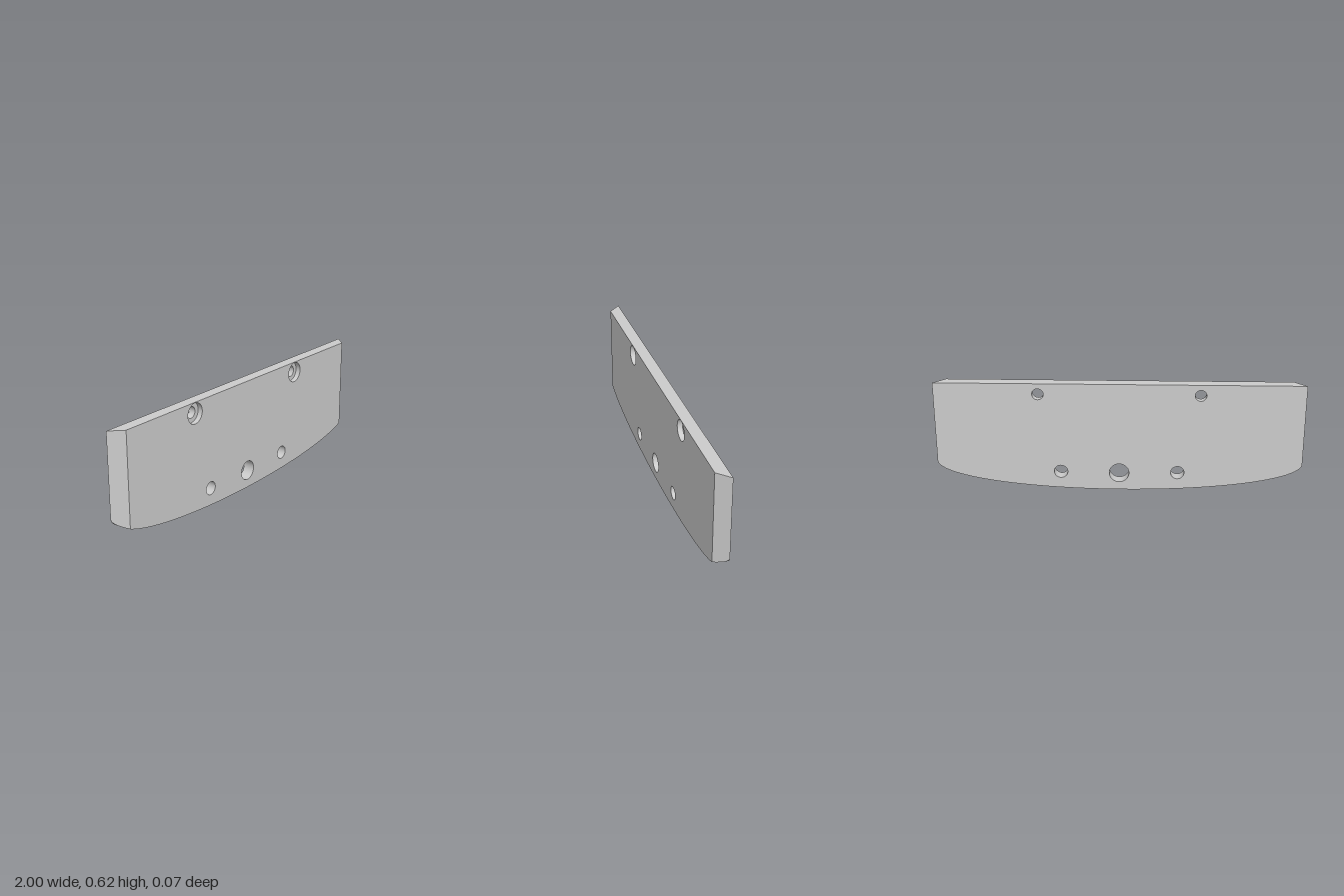
import * as THREE from 'three';

const HALF = 0.033;      // half the plate thickness
const TOP = 0.617;       // plate height
const FRONT_X = 0.935;   // half width of the front face (back face is 1)
const RISE = 0.163;      // height of the elliptical lower edge at its ends
const BORE_DEPTH = 0.028;
const SEG = 40;

const HOLES = [
  { name: 'centreHole', x: 0, y: 0.1, r: 0.054 },
  { name: 'lowerHoleLeft', x: 0.32, y: 0.105, r: 0.037 },
  { name: 'lowerHoleRight', x: -0.32, y: 0.105, r: 0.037 },
  { name: 'screwHoleLeft', x: 0.437, y: 0.557, r: 0.031, bore: 0.056 },
  { name: 'screwHoleRight', x: -0.437, y: 0.557, r: 0.031, bore: 0.056 },
];

const lowerEdge = (x) => RISE * (1 - Math.sqrt(Math.max(0, 1 - x * x)));
const frontZ = (x) =>
  HALF - 2 * HALF * Math.max(0, (Math.abs(x) - FRONT_X) / (1 - FRONT_X));

// x positions evenly spaced in angle along the ellipse
function stations(from, to, count) {
  const a = Math.asin(from), b = Math.asin(to);
  return Array.from({ length: count + 1 }, (_, i) => Math.sin(a + ((b - a) * i) / count));
}

// Strip of quads between two edges given as functions of x
function ribbon(xs, edgeA, edgeB) {
  const pos = [], index = [];
  xs.forEach((x, i) => {
    pos.push(...edgeA(x), ...edgeB(x));
    if (i) {
      const k = 2 * i;
      index.push(k - 2, k, k - 1, k, k + 1, k - 1);
    }
  });
  const g = new THREE.BufferGeometry();
  g.setAttribute('position', new THREE.Float32BufferAttribute(pos, 3));
  g.setIndex(index);
  g.computeVertexNormals();
  return g;
}

// Flat face with the lower curve, cut by the holes
function face(xs, radiusOf) {
  const half = xs[xs.length - 1];
  const shape = new THREE.Shape(xs.map((x) => new THREE.Vector2(x, lowerEdge(x))));
  shape.lineTo(half, TOP);
  shape.lineTo(-half, TOP);
  for (const h of HOLES) {
    const path = new THREE.Path();
    path.absarc(h.x, h.y, radiusOf(h), 0, Math.PI * 2, true);
    shape.holes.push(path);
  }
  return new THREE.ShapeGeometry(shape, SEG / 2).translate(0, 0, HALF);
}

export function createModel() {
  const group = new THREE.Group();
  const material = new THREE.MeshStandardMaterial({ color: 0xcccccc, side: THREE.DoubleSide });
  const add = (name, geometry, parent = group) => {
    const mesh = new THREE.Mesh(geometry, material);
    mesh.name = name;
    parent.add(mesh);
    return mesh;
  };

  const middle = stations(-FRONT_X, FRONT_X, 48);
  const rightEnd = stations(-1, -FRONT_X, 8);
  const leftEnd = stations(FRONT_X, 1, 8);
  const all = [...rightEnd, ...middle.slice(1), ...leftEnd.slice(1)];

  const bottomFront = (x) => [x, lowerEdge(x), frontZ(x)];
  const bottomBack = (x) => [x, lowerEdge(x), -HALF];
  const topFront = (x) => [x, TOP, frontZ(x)];
  const topBack = (x) => [x, TOP, -HALF];

  // Plate surfaces
  add('frontFace', face(middle, (h) => h.bore ?? h.r));
  add('backFace', face(all, (h) => h.r).rotateY(Math.PI));
  add('curvedLowerEdge', ribbon(all, bottomBack, bottomFront));
  add('topEdge', ribbon([-1, -FRONT_X, FRONT_X, 1], topFront, topBack));
  add('bevelRight', ribbon(rightEnd, bottomFront, topFront));
  add('bevelLeft', ribbon(leftEnd, bottomFront, topFront));

  // Hole walls, with a counterbore on the upper pair
  for (const h of HOLES) {
    const hole = new THREE.Group();
    hole.name = h.name;
    hole.position.set(h.x, h.y, 0);
    group.add(hole);
    const wall = (name, r, z0, z1) =>
      add(name, new THREE.CylinderGeometry(r, r, z1 - z0, SEG, 1, true)
        .rotateX(Math.PI / 2).translate(0, 0, (z0 + z1) / 2), hole);
    const seat = h.bore ? HALF - BORE_DEPTH : HALF;
    wall('holeWall', h.r, -HALF, seat);
    if (h.bore) {
      wall('counterboreWall', h.bore, seat, HALF);
      add('counterboreSeat', new THREE.RingGeometry(h.r, h.bore, SEG).translate(0, 0, seat), hole);
    }
  }
  return group;
}
